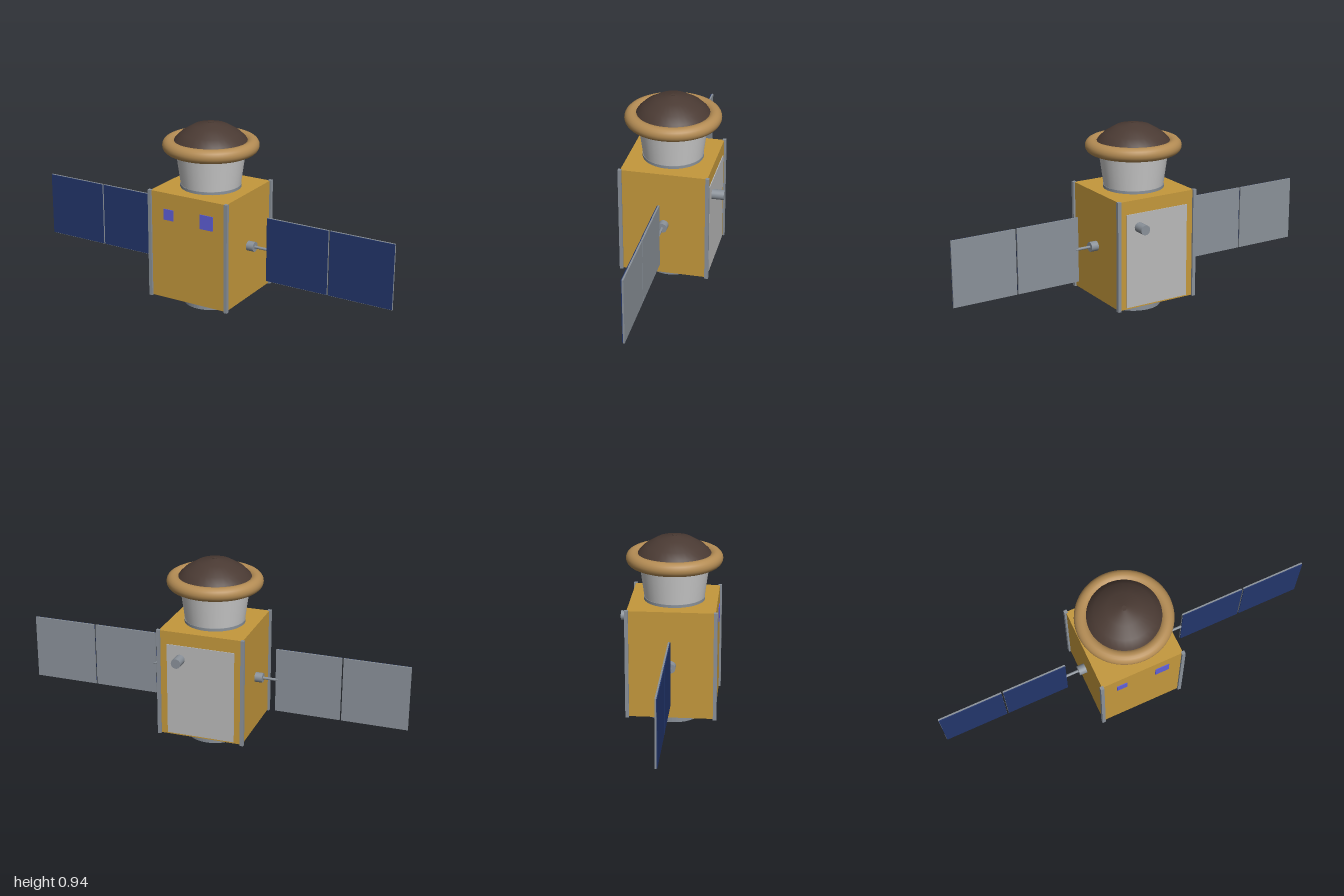
import * as THREE from 'three';

const mat = (color, extra = {}) => new THREE.MeshStandardMaterial({ color, ...extra });

export function createModel() {
  const root = new THREE.Group();
  root.name = 'satellite';
  const sat = new THREE.Group();
  sat.name = 'spacecraft';
  sat.position.z = 0.02;
  root.add(sat);

  const gold = mat(0xc4983c);
  const metal = mat(0x8a9199);
  const white = mat(0xd4d4d8, { side: THREE.DoubleSide });
  const lightGrey = mat(0xbababa);
  const cellBlue = mat(0x22356b);
  const sensorBlue = mat(0x6060d8);
  const tan = mat(0xb48c54);
  const dark = mat(0x4a3a33, { side: THREE.DoubleSide });

  const add = (name, geometry, material, x = 0, y = 0, z = 0, parent = sat) => {
    const mesh = new THREE.Mesh(geometry, material);
    mesh.name = name;
    mesh.position.set(x, y, z);
    parent.add(mesh);
    return mesh;
  };
  const box = (w, h, d) => new THREE.BoxGeometry(w, h, d);
  const lathe = (pts, n) => new THREE.LatheGeometry(pts.map(p => new THREE.Vector2(...p)), n);

  // Foil-covered bus with a rail on each vertical edge
  const half = 0.217;
  add('body', box(half * 2, 0.556, half * 2), gold, 0, 0.34, 0);
  for (const sx of [-1, 1])
    for (const sz of [-1, 1])
      add('cornerRail', box(0.018, 0.562, 0.018), metal, sx * 0.218, 0.34, sz * 0.218);

  // Front sensors
  add('smallSensor', box(0.056, 0.056, 0.008), sensorBlue, -0.11, 0.507, half);
  add('largeSensor', box(0.074, 0.074, 0.008), sensorBlue, 0.107, 0.507, half);

  // Radiator plate and star tracker tube on the back
  add('radiator', box(0.35, 0.48, 0.008), lightGrey, 0, 0.31, -half);
  const tracker = add('starTracker', new THREE.CylinderGeometry(0.025, 0.025, 0.066, 20), metal, 0.105, 0.479, -0.249);
  tracker.rotation.x = Math.PI / 2;

  // Open launch adapter ring with three clamps
  const ring = new THREE.Shape().absarc(0, 0, 0.138, 0, Math.PI * 2);
  ring.holes.push(new THREE.Path().absarc(0, 0, 0.118, 0, Math.PI * 2, true));
  const ringGeo = new THREE.ExtrudeGeometry(ring, { depth: 0.064, bevelEnabled: false, curveSegments: 24 });
  ringGeo.rotateX(-Math.PI / 2);
  add('adapterRing', ringGeo, metal);
  for (let i = 0; i < 3; i++) {
    const a = THREE.MathUtils.degToRad(14 + i * 120);
    const clamp = add('clamp', box(0.03, 0.046, 0.02), metal, Math.sin(a) * 0.142, 0.039, Math.cos(a) * 0.142);
    clamp.rotation.y = a;
  }

  // Collar and flared neck
  add('collar', new THREE.CylinderGeometry(0.153, 0.153, 0.016, 32), metal, 0, 0.624, 0);
  add('neck', new THREE.CylinderGeometry(0.178, 0.15, 0.2, 32, 1, true), white, 0, 0.73, 0);

  // Inflated ring around a shallow dome heat shield
  const torus = add('inflatedRing', new THREE.TorusGeometry(0.205, 0.035, 20, 64), tan, 0, 0.83, 0);
  torus.rotation.x = Math.PI / 2;
  const dome = [[0.195, 0.835], [0.175, 0.865], [0.145, 0.894], [0.085, 0.929], [0.012, 0.943], [0, 0.945]];
  add('dome', lathe(dome, 32), dark);
  add('domeTip', new THREE.CylinderGeometry(0.012, 0.012, 0.006, 16), dark, 0, 0.942, 0);

  // Solar wings: hub, arm and two hinged panels per side
  for (const s of [-1, 1]) {
    const wing = new THREE.Group();
    wing.name = s > 0 ? 'leftWing' : 'rightWing';
    sat.add(wing);
    const hub = add('driveHub', new THREE.CylinderGeometry(0.025, 0.025, 0.042, 20), metal, s * 0.235, 0.34, 0, wing);
    hub.rotation.z = Math.PI / 2;
    const arm = add('arm', new THREE.CylinderGeometry(0.007, 0.007, 0.09, 12), metal, s * 0.29, 0.34, 0, wing);
    arm.rotation.z = Math.PI / 2;
    for (const x of [0.49, 0.8325]) {
      add('panelBacking', box(0.335, 0.334, 0.008), metal, s * x, 0.339, -0.001, wing);
      add('solarCells', box(0.333, 0.33, 0.004), cellBlue, s * x, 0.34, 0.005, wing);
    }
  }
  return root;
}
